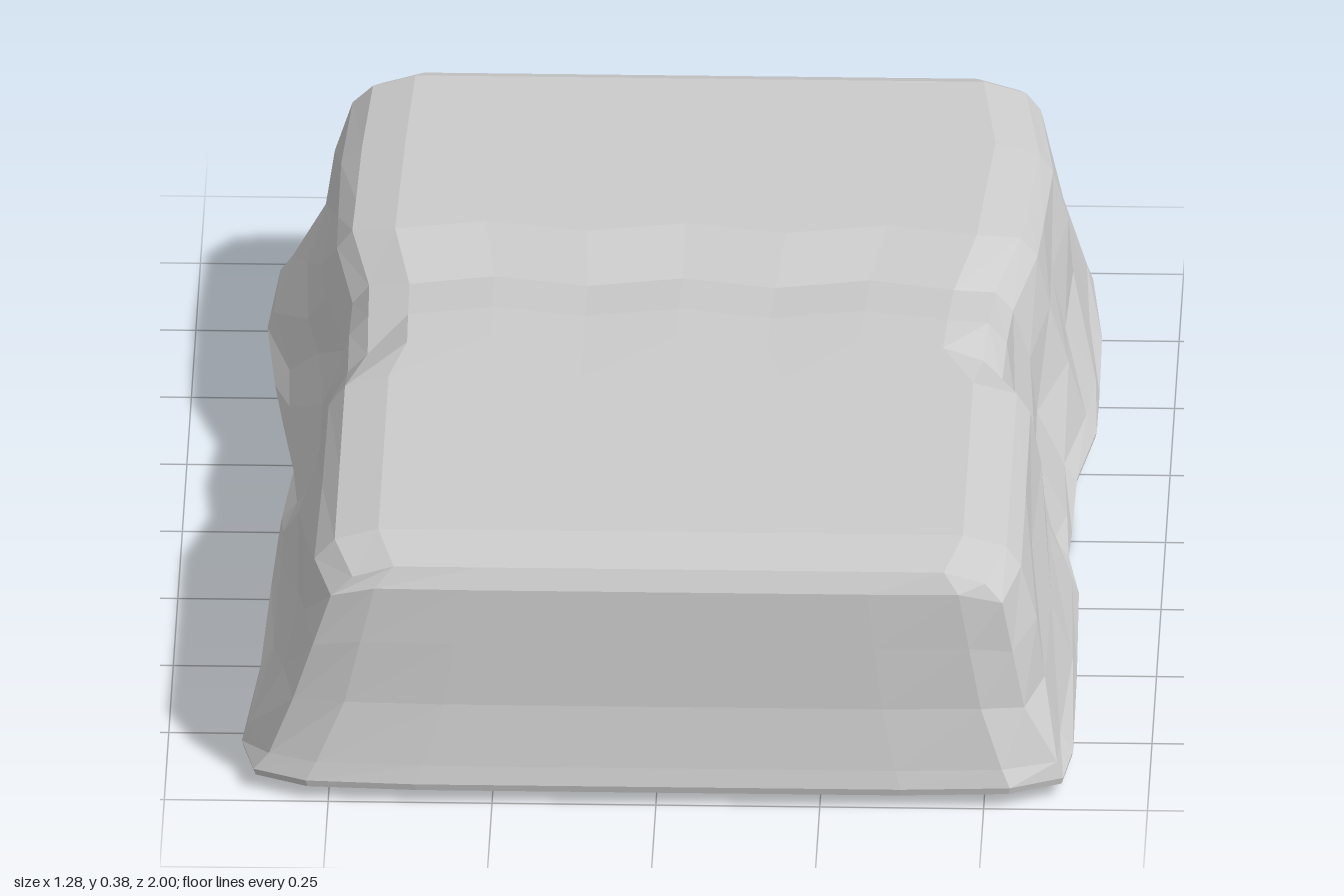
import * as THREE from 'three';

// Piecewise-linear lookup in a list of [position, value] pairs
function sample(table, p) {
  if (p <= table[0][0]) return table[0][1];
  for (let i = 1; i < table.length; i++) {
    const [p0, v0] = table[i - 1], [p1, v1] = table[i];
    if (p <= p1) return v0 + (v1 - v0) * (p - p0) / (p1 - p0);
  }
  return table[table.length - 1][1];
}

// Outlines along the length (z): top edges, hem edges and heights
const topLeft = [[-0.94, -0.47], [-0.85, -0.49], [-0.32, -0.5], [-0.17, -0.47], [0.1, -0.465], [0.25, -0.495], [0.85, -0.495], [0.92, -0.465]];
const topRight = [[-0.94, 0.5], [-0.85, 0.52], [-0.65, 0.54], [-0.32, 0.52], [-0.17, 0.485], [0.1, 0.475], [0.25, 0.53], [0.82, 0.53], [0.92, 0.5]];
const hemLeft = [[-0.94, -0.59], [-0.88, -0.625], [-0.62, -0.64], [-0.35, -0.61], [-0.17, -0.585], [0, -0.6], [0.55, -0.615], [0.8, -0.64], [0.92, -0.615]];
const hemRight = [[-0.94, 0.6], [-0.88, 0.615], [-0.65, 0.635], [-0.33, 0.638], [-0.17, 0.61], [0.1, 0.605], [0.25, 0.625], [0.8, 0.635], [0.92, 0.62]];
const topHeight = [[-0.94, 0.35], [-0.88, 0.372], [-0.32, 0.374], [-0.17, 0.349], [-0.01, 0.37], [0.1, 0.373], [0.25, 0.376], [0.82, 0.376], [0.92, 0.358]];
const hemHeight = [[-0.94, 0.02], [-0.8, 0.04], [-0.3, 0.028], [-0.05, 0.006], [0.1, 0.012], [0.3, 0.022], [0.92, 0.02]];

const rows = [-0.94, -0.88, -0.65, -0.45, -0.32, -0.17, -0.01, 0.1, 0.25, 0.55, 0.82, 0.92];
const cols = [-1, -0.87, -0.6, -0.3, 0, 0.3, 0.6, 0.87, 1];
// Wall profile: how far outwards and how high between hem and top edge
const wall = [[0, 1], [0.22, 0.91], [0.38, 0.66], [0.56, 0.38], [0.88, 0.11], [1, 0.03], [0.98, 0]];

function topPoint(i, j) {
  const u = cols[i], z = rows[j];
  const x = THREE.MathUtils.lerp(sample(topLeft, z), sample(topRight, z), (u + 1) / 2);
  const rim = Math.abs(u) === 1;
  const pinched = Math.abs(z) < 0.2;
  let y = sample(topHeight, z);
  if (rim) y -= z === 0.1 ? 0.035 : 0.018;
  // the cross folds zigzag a little
  const zig = pinched || z === -0.32 ? (i % 2 ? 0.016 : -0.016) : 0;
  return new THREE.Vector3(x, y, z + zig);
}

function hemPoint(i, j) {
  const u = cols[i], z = rows[j];
  const left = sample(hemLeft, z), right = sample(hemRight, z);
  const onSide = Math.abs(u) === 1;
  const x = THREE.MathUtils.lerp(left, right, (u + 1) / 2);
  const end = Math.abs(u) > 0.8 ? 0.99 : 1;
  const hemZ = onSide ? z * (z < 0 ? 1.015 : 1.03) : Math.sign(z) * end;
  let y = sample(hemHeight, z);
  if (u === 1 && z === -0.01) y = 0;
  return new THREE.Vector3(x, y, hemZ);
}

function meshFrom(name, points, faces, material) {
  const geometry = new THREE.BufferGeometry();
  geometry.setAttribute('position', new THREE.Float32BufferAttribute(points.flatMap(p => p.toArray()), 3));
  geometry.setIndex(faces);
  geometry.computeVertexNormals();
  const mesh = new THREE.Mesh(geometry, material);
  mesh.name = name;
  return mesh;
}

// Two triangles per cell of a grid of points, stored line after line
function gridFaces(lines, width) {
  const faces = [];
  for (let j = 0; j < lines - 1; j++) {
    for (let i = 0; i < width - 1; i++) {
      const a = j * width + i, b = a + width;
      faces.push(a, b, a + 1, a + 1, b, b + 1);
    }
  }
  return faces;
}

export function createModel() {
  const group = new THREE.Group();
  group.name = 'drapedCover';
  const material = new THREE.MeshStandardMaterial({ color: 0xcccccc, flatShading: true, side: THREE.DoubleSide });
  const nx = cols.length, nz = rows.length;

  // Top panel with a shallow fold across the middle
  const top = [];
  for (let j = 0; j < nz; j++) for (let i = 0; i < nx; i++) top.push(topPoint(i, j));
  group.add(meshFrom('topPanel', top, gridFaces(nz, nx), material));

  // Rim of the top panel, walked around: front, right, back, left
  const rim = [];
  for (let i = 0; i < nx - 1; i++) rim.push([i, nz - 1]);
  for (let j = nz - 1; j > 0; j--) rim.push([nx - 1, j]);
  for (let i = nx - 1; i > 0; i--) rim.push([i, 0]);
  for (let j = 0; j < nz; j++) rim.push([0, j]);

  // Flared skirt hanging from the rim, open underneath
  const skirt = [];
  wall.forEach(([out, height], level) => {
    for (const [i, j] of rim) {
      const a = topPoint(i, j), b = hemPoint(i, j);
      const p = new THREE.Vector3().lerpVectors(a, b, out);
      p.y = THREE.MathUtils.lerp(b.y, a.y, height);
      // uneven cloth on the long sides
      if ((i === 0 || i === nx - 1) && level > 1 && level < 5) p.x += 0.008 * Math.sin(j * 2.3 + level * 1.7);
      skirt.push(p);
    }
  });
  group.add(meshFrom('skirt', skirt, gridFaces(wall.length, rim.length), material));
  return group;
}
